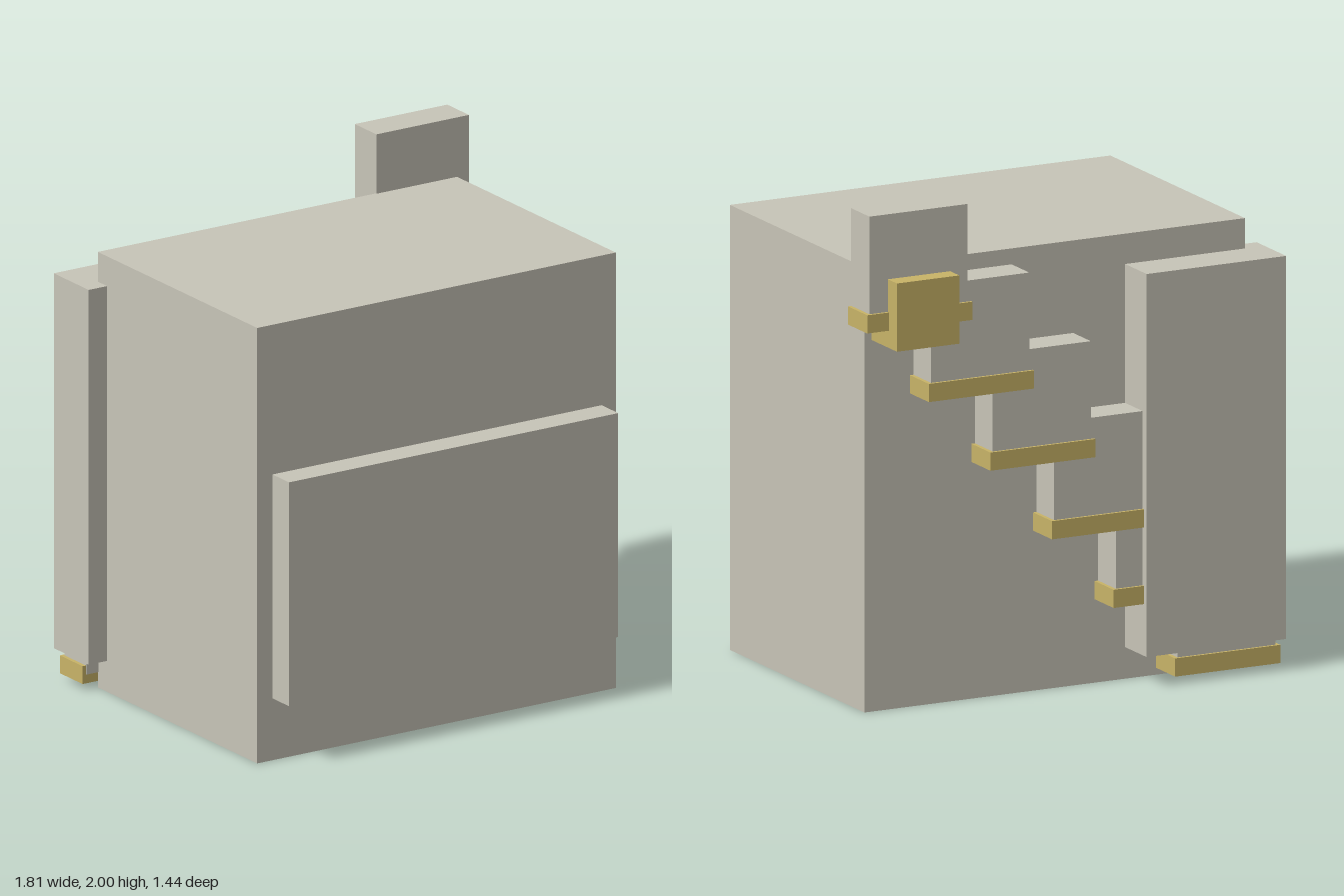
import * as THREE from 'three';

export function createModel() {
  const model = new THREE.Group();
  model.name = 'blockTowerWithStairs';

  const stone = new THREE.MeshStandardMaterial({ color: 0xc8c5b8 });
  stone.name = 'pale stone';
  const gold = new THREE.MeshStandardMaterial({ color: 0xc9b468 });
  gold.name = 'gold';

  // Box given by its extents on each axis
  function box(name, material, [x0, x1], [y0, y1], [z0, z1], parent = model) {
    const mesh = new THREE.Mesh(new THREE.BoxGeometry(x1 - x0, y1 - y0, z1 - z0), material);
    mesh.position.set((x0 + x1) / 2, (y0 + y1) / 2, (z0 + z1) / 2);
    mesh.name = name;
    parent.add(mesh);
  }

  // Main volume, raised front panel and rear corner pier
  box('mainBody', stone, [-0.82, 0.83], [0, 1.76], [-0.5, 0.605]);
  box('frontPanel', stone, [-0.75, 0.765], [0.25, 1.155], [0.6, 0.72]);
  box('rearPier', stone, [-0.905, -0.3], [0.125, 1.64], [-0.677, -0.435]);

  // Staircase climbing across the back: a stone block over a gold tread per step
  const stairs = new THREE.Group();
  stairs.name = 'stairs';
  model.add(stairs);
  for (let i = 0; i < 6; i++) {
    const x = 0.672 - 0.267 * i;
    const y = 1.578 - 0.303 * i;
    box('stepBlock', stone, [x - 0.213, x + 0.213], [y, y + 0.422], [-0.645, -0.495], stairs);
    box('stepTread', gold, [x - 0.228, x + 0.228], [y - 0.036, y + 0.036], [-0.656, -0.498], stairs);
  }

  // Gold block on the topmost step
  box('goldBlock', gold, [0.535, 0.805], [1.473, 1.743], [-0.72, -0.51]);

  return model;
}
